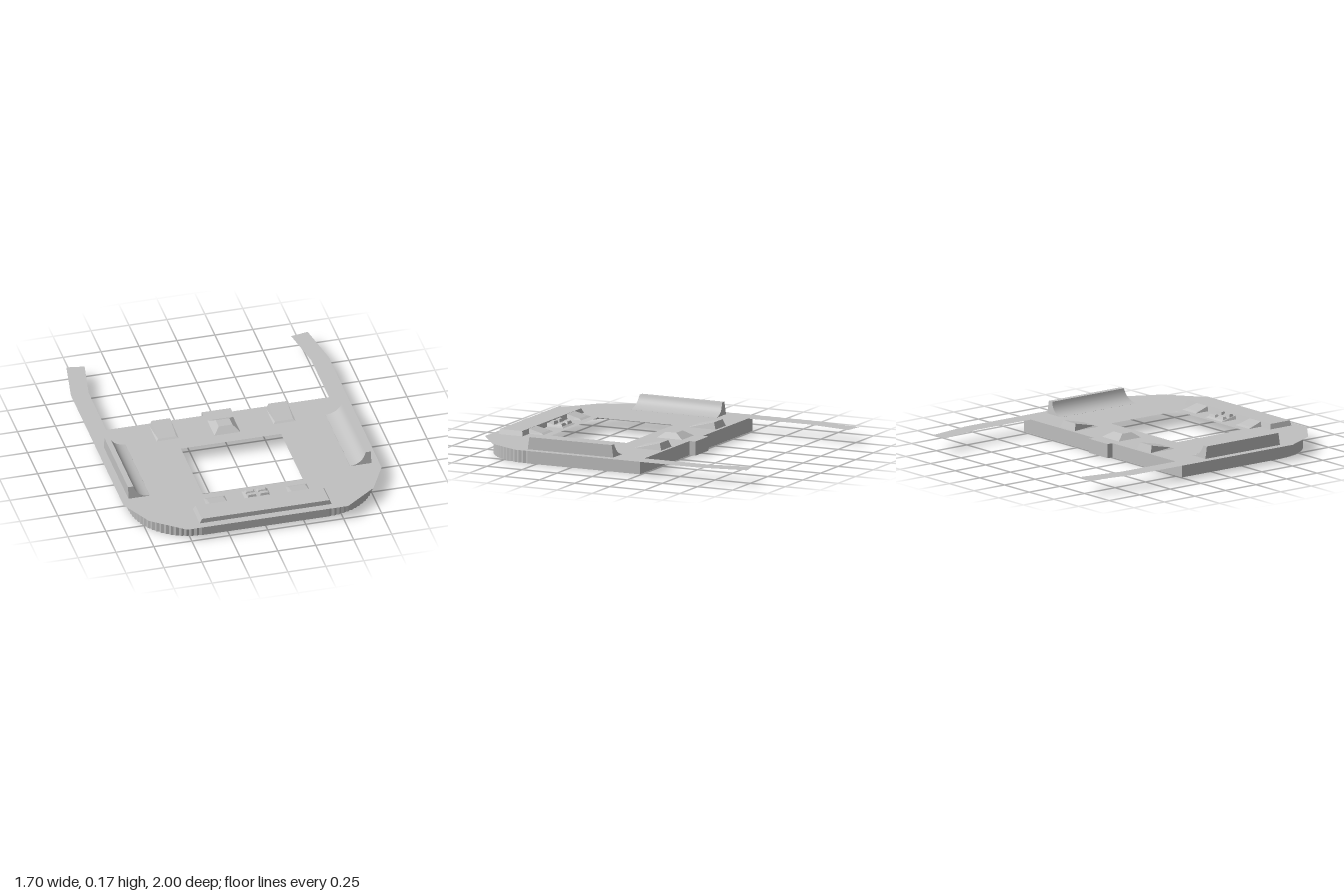
import * as THREE from 'three';
import { toCreasedNormals } from 'three/addons/utils/BufferGeometryUtils.js';

const DECK = 0.092; // height of the thin deck sheet

export function createModel() {
  const model = new THREE.Group();
  const grey = new THREE.MeshStandardMaterial({ color: 0xc0c0c0, side: THREE.DoubleSide });
  grey.name = 'light grey';

  const add = (name, geometry) => {
    const mesh = new THREE.Mesh(geometry, grey);
    mesh.name = name;
    model.add(mesh);
    return mesh;
  };
  const build = (positions, index) => {
    const indexed = new THREE.BufferGeometry();
    indexed.setAttribute('position', new THREE.Float32BufferAttribute(positions, 3));
    indexed.setIndex(index);
    const g = indexed.toNonIndexed();
    g.computeVertexNormals();
    return g;
  };
  const path = (points) => new THREE.Path(points.map(([x, z]) => new THREE.Vector2(x, z)));
  const rect = (x0, x1, z0, z1) => path([[x0, z0], [x1, z0], [x1, z1], [x0, z1]]);
  // Mirror a half outline across x = 0
  const mirrored = (half) => [...half, ...half.map(([x, z]) => [-x, z]).reverse()];

  // Hollow raised block, open below: base rectangle, top rectangle, top heights at back and front
  const block = (name, b, t, yBack, yFront = yBack, y0 = DECK) => {
    const p = [
      b[0], y0, b[2], b[0], y0, b[3], b[1], y0, b[3], b[1], y0, b[2],
      t[0], yBack, t[2], t[0], yFront, t[3], t[1], yFront, t[3], t[1], yBack, t[2],
    ];
    const index = [4, 5, 6, 4, 6, 7];
    for (let i = 0; i < 4; i++) {
      const j = (i + 1) % 4;
      index.push(i, j, j + 4, i, j + 4, i + 4);
    }
    return add(name, build(p, index));
  };

  // Deck sheet with rear arms, window and openings under the raised parts
  const deck = new THREE.Shape(mirrored([
    [0.095, -0.28], [0.095, -0.24], [0.733, -0.24], [0.733, -0.68], [0.68, -0.98],
    [0.795, -1], [0.85, -0.68], [0.85, 0.625], [0.74, 0.84], [0.53, 1],
  ]).map(([x, z]) => new THREE.Vector2(x, z)));
  deck.holes.push(
    rect(-0.33, 0.33, 0.09, 0.63),
    rect(-0.085, 0.085, -0.18, 0),
    path(mirrored([
      [0.085, 0.665], [0.085, 0.78], [0.2, 0.78], [0.2, 0.68], [0.34, 0.68],
      [0.34, 0.78], [0.435, 0.78], [0.435, 0.949],
    ])),
  );
  for (const s of [-1, 1]) {
    deck.holes.push(
      rect(s * 0.385 - 0.073, s * 0.385 + 0.073, -0.22, -0.03),
      rect(s * 0.729 - 0.07, s * 0.729 + 0.07, -0.05, 0.56),
    );
  }
  add('deck', new THREE.ShapeGeometry(deck).rotateX(Math.PI / 2).translate(0, DECK, 0));

  // Skirt wall with finely ribbed front corners
  const half = [[0.095, -0.28], [0.095, -0.24], [0.8, -0.24]];
  const ribs = 36;
  for (let i = 0; i <= ribs; i++) {
    const a = (i / ribs) * Math.PI / 2;
    const r = i % 2 ? 0.985 : 1;
    half.push([0.42 + 0.38 * r * Math.cos(a), 0.56 + 0.39 * r * Math.sin(a)]);
  }
  const ring = mirrored(half);
  const wall = [], wallIndex = [];
  ring.forEach(([x, z], i) => {
    const a = i * 2, b = ((i + 1) % ring.length) * 2;
    wall.push(x, 0, z, x, DECK, z);
    wallIndex.push(a, a + 1, b + 1, a, b + 1, b);
  });
  add('skirt', build(wall, wallIndex));

  // Side rails with a concave inner face
  const profile = new THREE.Shape();
  profile.moveTo(0.8, DECK);
  profile.lineTo(0.8, 0.172);
  profile.lineTo(0.765, 0.172);
  profile.quadraticCurveTo(0.745, 0.098, 0.66, DECK);
  const rail = new THREE.ExtrudeGeometry(profile, { depth: 0.61, bevelEnabled: false, curveSegments: 10 });
  rail.translate(0, 0, -0.05);
  const rp = rail.attributes.position;
  const kept = [];
  for (let i = 0; i < rp.count; i += 3) {
    const ids = [i, i + 1, i + 2];
    // leave the underside open
    if (ids.every((k) => rp.getY(k) < DECK + 1e-4)) continue;
    for (const k of ids) {
      const lean = 0.012 * (rp.getY(k) - DECK) / 0.08;
      kept.push(rp.getX(k), rp.getY(k), rp.getZ(k) + (rp.getZ(k) > 0.2 ? -lean : lean));
    }
  }
  const railGeo = new THREE.BufferGeometry();
  railGeo.setAttribute('position', new THREE.Float32BufferAttribute(kept, 3));
  const railSmooth = toCreasedNormals(railGeo, 0.5);
  add('leftRail', railSmooth);
  add('rightRail', railSmooth).scale.x = -1;

  // Rear clips, front ramps
  for (const s of [-1, 1]) {
    const side = s > 0 ? 'left' : 'right';
    const span = (c, w) => [s * c - w, s * c + w];
    block(side + 'RearClip', [...span(0.385, 0.073), -0.22, -0.03],
      [...span(0.385, 0.06), -0.203, -0.045], 0.136, 0.1);
    block(side + 'FrontRamp', [...span(0.27, 0.07), 0.68, 0.79],
      [...span(0.27, 0.055), 0.7, 0.79], 0.1, 0.122);
  }

  // Centre rear bump and front bar
  block('rearBump', [-0.085, 0.085, -0.18, 0], [-0.045, 0.045, -0.12, -0.045], 0.126);
  block('frontBar', [-0.435, 0.435, 0.78, 0.95], [-0.42, 0.42, 0.79, 0.949], 0.123);

  // Centre front catch with four raised pads
  block('frontCatch', [-0.085, 0.085, 0.665, 0.79], [-0.07, 0.07, 0.68, 0.79], 0.1, 0.115);
  for (const x of [-0.04, 0.04]) {
    for (const z of [0.7, 0.755]) {
      block('catchPad', [x - 0.034, x + 0.034, z - 0.02, z + 0.02],
        [x - 0.024, x + 0.024, z - 0.012, z + 0.012], z > 0.72 ? 0.127 : 0.116, undefined, 0.1);
    }
  }
  return model;
}
